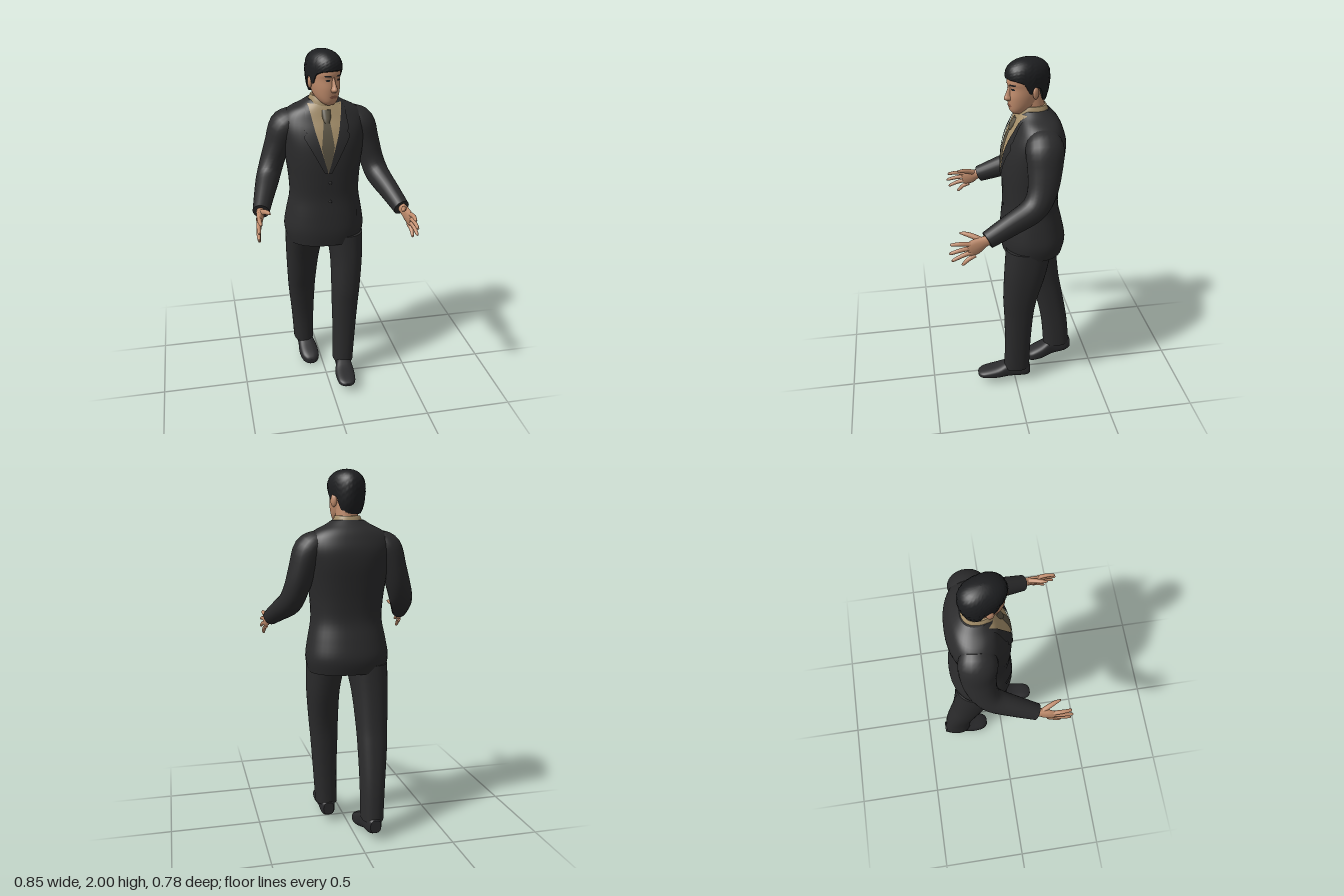
import * as THREE from 'three';

const mat = (name, color) => { const m = new THREE.MeshStandardMaterial({ color }); m.name = name; return m; };
const V = (x, y, z) => new THREE.Vector3(x, y, z);

// Skin over a list of rings (each ring counter-clockwise about the direction of travel), capped at both ends
function skin(rings) {
  const n = rings[0].length, pos = [], idx = [];
  rings.forEach(r => r.forEach(p => pos.push(p.x, p.y, p.z)));
  for (let i = 0; i < rings.length - 1; i++) for (let j = 0; j < n; j++) {
    const a = i * n + j, b = i * n + (j + 1) % n, c = b + n, d = a + n;
    idx.push(a, b, c, a, c, d);
  }
  [rings[0], rings[rings.length - 1]].forEach((r, end) => {
    const base = pos.length / 3, mid = V(0, 0, 0);
    r.forEach(p => { mid.addScaledVector(p, 1 / n); pos.push(p.x, p.y, p.z); });
    pos.push(mid.x, mid.y, mid.z);
    for (let j = 0; j < n; j++) {
      const a = base + j, b = base + (j + 1) % n;
      end ? idx.push(base + n, a, b) : idx.push(base + n, b, a);
    }
  });
  return geo(pos, idx);
}

function geo(pos, idx) {
  const g = new THREE.BufferGeometry();
  g.setAttribute('position', new THREE.Float32BufferAttribute(pos, 3));
  g.setIndex(idx);
  g.computeVertexNormals();
  return g;
}

// Catmull-Rom resampling of rows of numbers
function smooth(rows, k = 4) {
  const out = [], at = i => rows[Math.max(0, Math.min(rows.length - 1, i))];
  for (let i = 0; i < rows.length - 1; i++) for (let s = 0; s < k; s++) {
    const t = s / k, [a, b, c, d] = [at(i - 1), at(i), at(i + 1), at(i + 2)];
    out.push(b.map((_, q) => 0.5 * (2 * b[q] + (c[q] - a[q]) * t + (2 * a[q] - 5 * b[q] + 4 * c[q] - d[q]) * t * t
      + (3 * b[q] - a[q] - 3 * c[q] + d[q]) * t ** 3)));
  }
  out.push(rows[rows.length - 1]);
  return out;
}

function rowAt(rows, y) {
  let i = 0;
  while (i < rows.length - 2 && rows[i + 1][0] < y) i++;
  const t = Math.max(0, Math.min(1, (y - rows[i][0]) / (rows[i + 1][0] - rows[i][0])));
  return rows[i].map((v, q) => v + (rows[i + 1][q] - v) * t);
}

const pw = (v, n) => Math.sign(v) * Math.abs(v) ** (2 / n);

// Row = [station, centre x, half width, low, high]; upright parts travel along y, shoes along z
function ring([t, cx, hw, lo, hi], n, upright, seg = 40) {
  return Array.from({ length: seg }, (_, j) => {
    const a = j / seg * Math.PI * 2, x = cx + hw * pw(Math.cos(a), n);
    const m = (lo + hi) / 2, d = (hi - lo) / 2 * pw(Math.sin(a), n);
    return upright ? V(x, t, m - d) : V(x, m + d, t);
  });
}
const loft = (rows, n = 2.3, upright = true) => skin(rows.map(r => ring(r, n, upright)));

// Limb along points [x, y, z, radius in the vertical plane, radius sideways]
function limb(pts, seg = 16, k = 4) {
  const rows = smooth(pts, k);
  return skin(rows.map((r, i) => {
    const p = rows[Math.max(0, i - 1)], q = rows[Math.min(rows.length - 1, i + 1)];
    const t = V(q[0] - p[0], q[1] - p[1], q[2] - p[2]).normalize();
    const u = V(1, 0, 0).cross(t).normalize(), v = t.clone().cross(u);
    return Array.from({ length: seg }, (_, j) => {
      const a = j / seg * Math.PI * 2;
      return V(r[0], r[1], r[2]).addScaledVector(u, r[3] * Math.cos(a)).addScaledVector(v, r[4] * Math.sin(a));
    });
  }));
}

// Thin sheet lying on the front of a loft; outline = rows of [y, x0, x1]
function patch(rows, n, outline, lift) {
  const pos = [], idx = [], nx = 8, ny = 24, y0 = outline[0][0], y1 = outline[outline.length - 1][0];
  for (let i = 0; i <= ny; i++) {
    const [y, a, b] = rowAt(outline, y0 + (y1 - y0) * i / ny), [, cx, hw, lo, hi] = rowAt(rows, y);
    for (let j = 0; j <= nx; j++) {
      const x = a + (b - a) * j / nx, f = Math.min(1, Math.abs((x - cx) / hw));
      pos.push(x, y, (lo + hi) / 2 + (hi - lo) / 2 * (1 - f ** n) ** (1 / n) + lift);
      if (i < ny && j < nx) { const k = i * (nx + 1) + j, m = k + nx + 1; idx.push(k, k + 1, m + 1, k, m + 1, m); }
    }
  }
  return geo(pos, idx);
}
const mirror = o => o.map(([y, a, b]) => [y, -b, -a]);

export function createModel() {
  const suit = mat('suit charcoal', 0x2b2b2c), hairM = mat('hair black', 0x1d1e20), skinM = mat('skin', 0xc08c6c),
    shirtM = mat('shirt tan', 0xa58f6a), tieM = mat('tie olive', 0x5a5343), shoeM = mat('shoe black', 0x2a2a2c),
    lipM = mat('lips', 0x94604c);
  const model = new THREE.Group();
  const add = (name, g, m, parent = model) => {
    const o = new THREE.Mesh(g, m); o.name = name; parent.add(o); return o;
  };

  // Jacket
  const torso = smooth([[0.92, 0.005, 0.214, -0.275, 0.062], [1.0, 0.005, 0.229, -0.29, 0.07], [1.1, 0.005, 0.215, -0.27, 0.064],
    [1.2, 0.005, 0.197, -0.247, 0.055], [1.3, 0.004, 0.2, -0.25, 0.058], [1.4, 0.003, 0.212, -0.262, 0.06],
    [1.5, 0.003, 0.226, -0.275, 0.052], [1.58, 0.003, 0.236, -0.275, 0.03], [1.64, 0.002, 0.225, -0.258, 0.002],
    [1.68, 0, 0.185, -0.24, -0.014], [1.71, 0, 0.125, -0.215, -0.026], [1.735, 0, 0.085, -0.19, -0.04]]);
  add('jacket', loft(torso), suit);
  const lapel = [[1.36, 0, 0.02], [1.5, 0.04, 0.095], [1.56, 0.058, 0.13], [1.575, 0.062, 0.105], [1.59, 0.066, 0.122], [1.71, 0.09, 0.105]];
  add('leftLapel', patch(torso, 2.3, lapel, 0.008), suit);
  add('rightLapel', patch(torso, 2.3, mirror(lapel), 0.008), suit);
  const flap = [[1.08, 0.09, 0.17], [1.115, 0.09, 0.17]];
  add('leftPocketFlap', patch(torso, 2.3, flap, 0.006), suit);
  add('rightPocketFlap', patch(torso, 2.3, mirror(flap), 0.006), suit);
  for (const y of [1.19, 1.3]) {
    const b = add('button', new THREE.SphereGeometry(0.009, 10, 6), suit);
    b.position.set(0.012, y, 0.058); b.scale.z = 0.5;
  }

  // Shirt, collar and tie
  add('shirtFront', patch(torso, 2.3, [[1.36, -0.002, 0.002], [1.5, -0.045, 0.045], [1.6, -0.072, 0.072], [1.72, -0.092, 0.092]], 0.004), shirtM);
  add('shirtCollar', loft([[1.68, 0, 0.085, -0.19, -0.02], [1.73, 0, 0.078, -0.188, -0.022], [1.757, 0, 0.066, -0.175, -0.035]]), shirtM);
  add('tie', patch(torso, 2.3, [[1.37, -0.003, 0.003], [1.42, -0.019, 0.019], [1.5, -0.035, 0.035], [1.63, -0.018, 0.018]], 0.009), tieM);
  add('tieKnot', loft([[1.625, 0.002, 0.016, -0.03, 0.024], [1.65, 0.002, 0.024, -0.03, 0.018], [1.69, 0.002, 0.027, -0.05, -0.006]]), tieM);

  // Arms and hands
  const arms = {
    left: [1, [[0.16, 1.635, -0.13, 0.08, 0.055], [0.215, 1.585, -0.13, 0.1, 0.08], [0.25, 1.48, -0.125, 0.09, 0.075],
      [0.283, 1.37, -0.105, 0.078, 0.067], [0.308, 1.295, -0.055, 0.07, 0.065], [0.343, 1.24, 0.06, 0.06, 0.055], [0.38, 1.18, 0.193, 0.047, 0.045]], 0, 0],
    right: [-1, [[0.16, 1.635, -0.13, 0.08, 0.055], [0.21, 1.585, -0.135, 0.1, 0.08], [0.25, 1.48, -0.14, 0.09, 0.07],
      [0.285, 1.38, -0.125, 0.078, 0.067], [0.315, 1.305, -0.08, 0.07, 0.065], [0.35, 1.25, 0.03, 0.06, 0.055], [0.382, 1.2, 0.142, 0.047, 0.045]], 0.02, -0.055],
  };
  for (const [side, [s, path, dy, dz]] of Object.entries(arms)) {
    add(side + 'Sleeve', limb(path.map(([x, ...r]) => [x * s, ...r]), 22), suit);
    const hand = new THREE.Group(); hand.name = side + 'Hand'; model.add(hand);
    const part = (name, pts) => add(name, limb(pts.map(([x, y, z, a, b]) => [x * s, y + dy, z + dz, a, b]), 12, 3), skinM, hand);
    part('palm', [[0.38, 1.185, 0.17, 0.027, 0.023], [0.386, 1.177, 0.21, 0.03, 0.022], [0.396, 1.16, 0.25, 0.044, 0.018],
      [0.403, 1.147, 0.285, 0.042, 0.014], [0.405, 1.144, 0.296, 0.03, 0.008]]);
    const tips = [[0.402, 1.183, 0.383], [0.413, 1.14, 0.39], [0.415, 1.1, 0.38], [0.408, 1.068, 0.33]];
    tips.forEach(([x, y, z], i) => {
      const ky = 1.178 - i * 0.022, kz = 0.282 - i * 0.008;
      part('finger', [[0.402, ky, kz, 0.012, 0.012], [(0.408 + x) / 2, (ky + y) / 2 + 0.004, (kz + z) / 2, 0.011, 0.011],
        [x, y, z - 0.008, 0.008, 0.008], [x, y, z, 0.003, 0.003]]);
    });
    part('thumb', [[0.388, 1.185, 0.22, 0.016, 0.014], [0.37, 1.205, 0.265, 0.014, 0.013], [0.355, 1.215, 0.305, 0.011, 0.01], [0.349, 1.218, 0.33, 0.004, 0.004]]);
  }

  // Trousers, mid-stride with the left leg forward
  add('leftTrouserLeg', loft(smooth([[0.105, 0.105, 0.061, -0.085, 0.068], [0.3, 0.112, 0.067, -0.09, 0.064], [0.5, 0.117, 0.077, -0.103, 0.068],
    [0.62, 0.122, 0.083, -0.122, 0.074], [0.8, 0.128, 0.092, -0.17, 0.068], [0.96, 0.115, 0.108, -0.2, 0.055]])), suit);
  add('rightTrouserLeg', loft(smooth([[0.105, -0.093, 0.061, -0.382, -0.218], [0.3, -0.1, 0.068, -0.362, -0.2], [0.5, -0.11, 0.08, -0.325, -0.155],
    [0.62, -0.113, 0.086, -0.302, -0.115], [0.8, -0.112, 0.098, -0.28, -0.05], [0.96, -0.102, 0.115, -0.265, 0.03]])), suit);

  // Shoes
  add('leftShoe', loft(smooth([[-0.088, 0.105, 0.03, 0.045, 0.115], [-0.06, 0.105, 0.042, 0.035, 0.135], [0.04, 0.1, 0.046, 0.038, 0.137],
    [0.11, 0.093, 0.057, 0.036, 0.108], [0.19, 0.09, 0.052, 0.04, 0.088], [0.22, 0.09, 0.036, 0.046, 0.077], [0.23, 0.09, 0.018, 0.052, 0.068]]), 2.8, false), shoeM);
  add('rightShoe', loft(smooth([[-0.387, -0.092, 0.03, 0.05, 0.12], [-0.35, -0.091, 0.042, 0.032, 0.137], [-0.27, -0.087, 0.046, 0.022, 0.135],
    [-0.2, -0.08, 0.058, 0.006, 0.1], [-0.14, -0.075, 0.054, 0.0, 0.073], [-0.11, -0.073, 0.036, 0.003, 0.054], [-0.1, -0.073, 0.018, 0.008, 0.04]]), 2.8, false), shoeM);

  // Head, turned slightly to its left
  add('neck', loft([[1.68, 0, 0.062, -0.17, -0.035], [1.76, 0.002, 0.058, -0.165, -0.035], [1.84, 0.004, 0.058, -0.155, -0.04]]), skinM);
  const head = new THREE.Group(); head.name = 'head'; model.add(head);
  head.position.set(0, 0, -0.075); head.rotation.y = 0.34;
  const skull = smooth([[1.718, 0, 0.024, 0.035, 0.082], [1.735, 0, 0.044, -0.01, 0.097], [1.765, 0, 0.061, -0.055, 0.104],
    [1.81, 0, 0.072, -0.085, 0.108], [1.855, 0, 0.077, -0.1, 0.104], [1.885, 0, 0.078, -0.105, 0.11],
    [1.93, 0, 0.074, -0.1, 0.098], [1.97, 0, 0.05, -0.08, 0.06]]);
  add('face', loft(skull, 2.2), skinM, head);
  add('nose', loft(smooth([[1.79, 0, 0.011, 0.08, 0.118], [1.803, 0, 0.018, 0.08, 0.134], [1.825, 0, 0.012, 0.08, 0.126], [1.868, 0, 0.007, 0.08, 0.108]]), 2), skinM, head);
  add('mouth', patch(skull, 2.2, [[1.758, -0.015, 0.015], [1.765, -0.025, 0.025], [1.774, -0.012, 0.012]], 0.003), lipM, head);
  for (const s of [1, -1]) {
    const m = o => s > 0 ? o : mirror(o), side = s > 0 ? 'left' : 'right';
    add(side + 'Eyebrow', patch(skull, 2.2, m([[1.871, 0.014, 0.046], [1.88, 0.018, 0.05]]), 0.003), hairM, head);
    add(side + 'Eye', patch(skull, 2.2, m([[1.848, 0.026, 0.036], [1.853, 0.019, 0.043], [1.859, 0.025, 0.038]]), 0.003), hairM, head);
    const ear = add(side + 'Ear', new THREE.SphereGeometry(1, 14, 10), skinM, head);
    ear.position.set(s * 0.081, 1.835, -0.005); ear.scale.set(0.012, 0.033, 0.02); ear.rotation.y = s * 0.35;
  }

  // Hair: a tousled shell that hangs low at the back and ends above the brow
  const shell = smooth([[1.76, 0, 0.062, -0.09, 0.08], [1.81, 0, 0.079, -0.11, 0.09], [1.87, 0, 0.087, -0.121, 0.112], [1.92, 0, 0.087, -0.121, 0.119],
    [1.955, 0, 0.077, -0.11, 0.108], [1.98, 0, 0.057, -0.085, 0.08], [1.995, 0, 0.03, -0.05, 0.045], [2.0, 0, 0.004, -0.01, 0.01]]);
  const hairline = [[-1, 1.765], [-0.45, 1.78], [-0.2, 1.86], [0.08, 1.865], [0.16, 1.825], [0.34, 1.835], [0.46, 1.885], [0.8, 1.902], [1, 1.905]];
  const rings = Array.from({ length: 19 }, (_, i) => Array.from({ length: 56 }, (_, j) => {
    const a = j / 56 * Math.PI * 2, y0 = rowAt(hairline, -Math.sin(a))[1];
    const u = 1 - (1 - i / 18) ** 1.6, y = y0 + (2 - y0) * u;
    const [, , hw, lo, hi] = rowAt(shell, y), w = 1 + 0.022 * Math.sin(j * 2.4 + i * 1.9) * Math.sin(j * 0.7 - i * 1.3);
    return V(hw * w * pw(Math.cos(a), 2.2), y, (lo + hi) / 2 - (hi - lo) / 2 * w * pw(Math.sin(a), 2.2));
  }));
  add('hair', skin(rings), hairM, head);
  return model;
}
